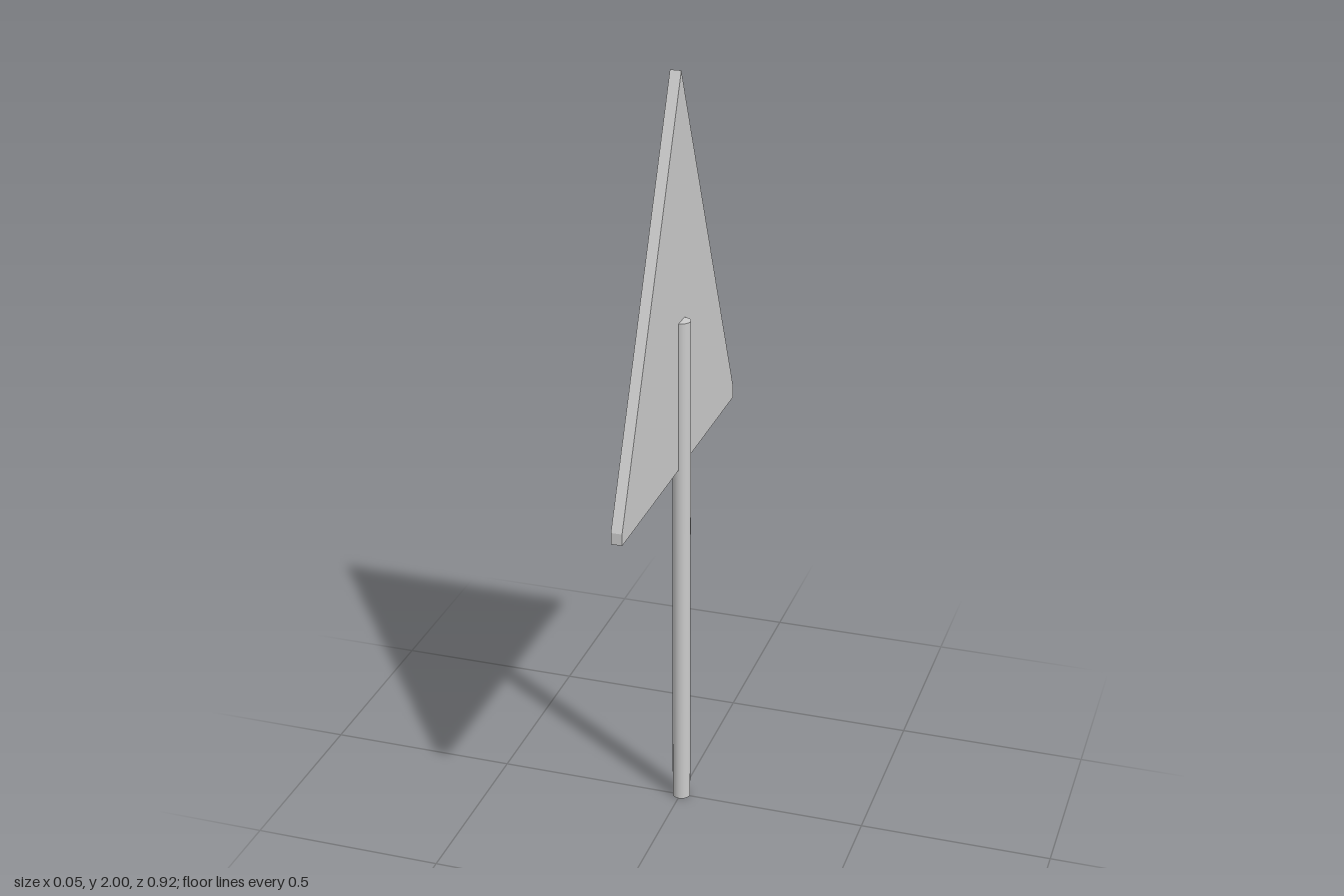
import * as THREE from 'three';

export function createModel() {
  const model = new THREE.Group();
  const material = new THREE.MeshStandardMaterial({ color: 0xcccccc });

  const thickness = 0.028;
  const halfWidth = 0.46;
  const plateX = -0.026; // rear face of the plate
  const poleRadius = 0.0235;
  const poleHeight = 1.37;

  // Triangular plate with short upright ends at its lower corners
  const outline = new THREE.Shape([
    new THREE.Vector2(-halfWidth, 0.975),
    new THREE.Vector2(halfWidth, 0.975),
    new THREE.Vector2(halfWidth, 1.005),
    new THREE.Vector2(0, 2),
    new THREE.Vector2(-halfWidth, 1.005),
  ]);
  const plateGeometry = new THREE.ExtrudeGeometry(outline, { depth: thickness, bevelEnabled: false });
  plateGeometry.rotateY(Math.PI / 2).translate(plateX, 0, 0);
  const plate = new THREE.Mesh(plateGeometry, material);
  plate.name = 'signPlate';
  model.add(plate);

  // Round pole, half sunk into the plate
  const pole = new THREE.Mesh(
    new THREE.CylinderGeometry(poleRadius, poleRadius, poleHeight, 24),
    material
  );
  pole.name = 'pole';
  pole.position.set(plateX + thickness, poleHeight / 2, -0.0025);
  model.add(pole);

  return model;
}
